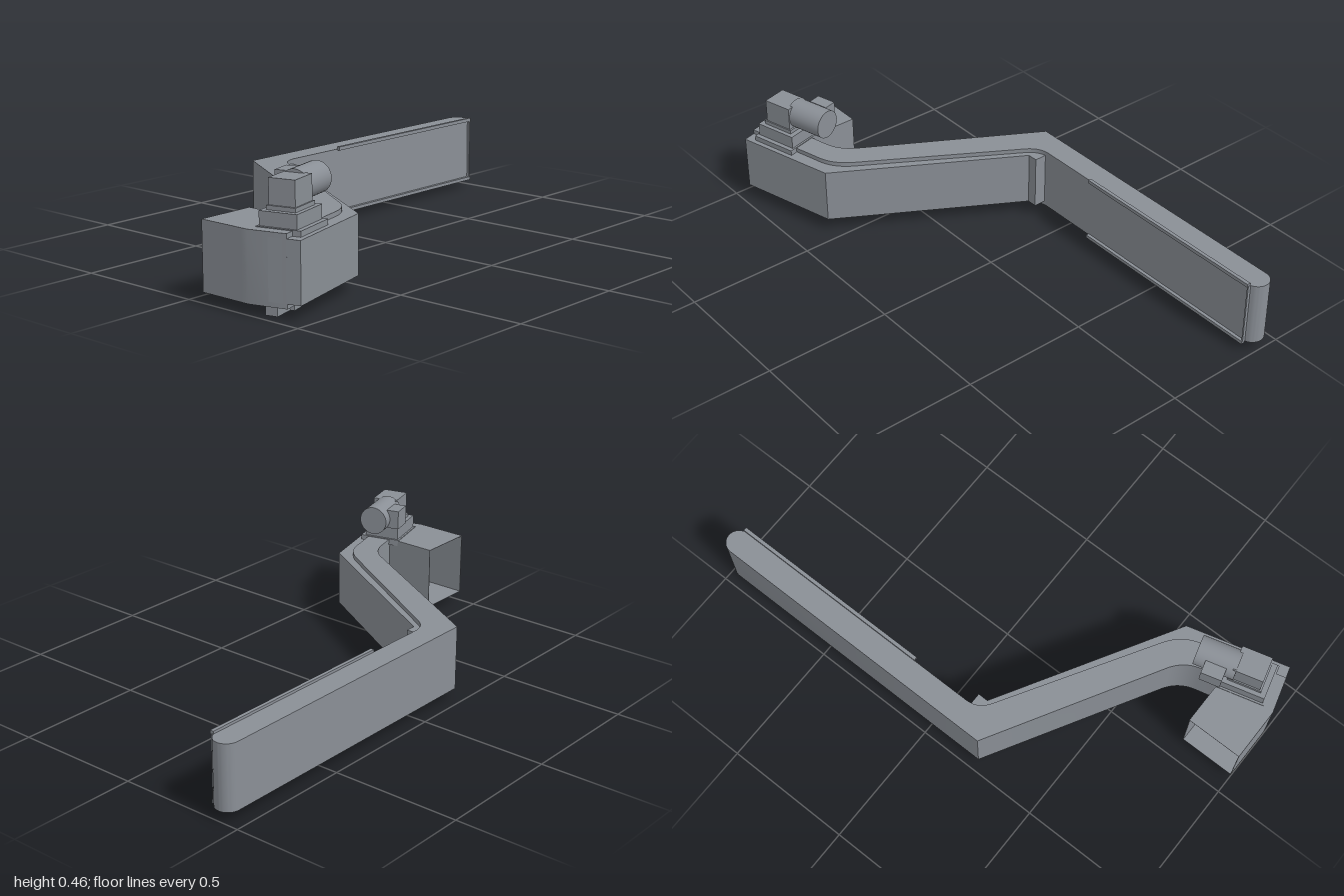
import * as THREE from 'three';
import { toCreasedNormals } from 'three/addons/utils/BufferGeometryUtils.js';

const material = new THREE.MeshStandardMaterial({ color: 0x8a8f96 });

function add(parent, name, geometry, x = 0, y = 0, z = 0) {
  const mesh = new THREE.Mesh(geometry, material);
  mesh.name = name;
  mesh.position.set(x, y, z);
  parent.add(mesh);
  return mesh;
}

// Box given by its centre in plan, its height range and its plan size
function block(parent, name, x, z, y0, y1, w, d) {
  return add(parent, name, new THREE.BoxGeometry(w, y1 - y0, d), x, (y0 + y1) / 2, z);
}

// Raises a plan outline (shape x = x, shape y = -z) between two heights
function slab(parent, name, shape, y0, y1) {
  const geometry = new THREE.ExtrudeGeometry(shape, { depth: y1 - y0, bevelEnabled: false, curveSegments: 12 });
  geometry.rotateX(-Math.PI / 2);
  return add(parent, name, toCreasedNormals(geometry, 0.5), 0, y0, 0);
}

export function createModel() {
  const model = new THREE.Group();
  model.name = 'bentArm';
  const low = 0.038, high = 0.287;

  // Bent arm with a rounded free end
  const arm = new THREE.Shape();
  arm.moveTo(-0.23, 0.465);
  arm.lineTo(-0.6, -0.18);
  arm.quadraticCurveTo(-0.635, -0.238, -0.7, -0.255);
  arm.lineTo(-0.78, -0.275);
  arm.lineTo(-0.78, -0.25);
  arm.lineTo(-1, -0.25);
  arm.lineTo(-1, -0.28);
  arm.lineTo(-0.9615, -0.418);
  arm.lineTo(-0.65, -0.335);
  arm.quadraticCurveTo(-0.57, -0.32, -0.525, -0.245);
  arm.lineTo(-0.185, 0.32);
  arm.quadraticCurveTo(-0.155, 0.37, -0.1, 0.37);
  arm.lineTo(0.952, 0.37);
  arm.absarc(0.952, 0.4175, 0.0475, -Math.PI / 2, Math.PI / 2, false);
  slab(model, 'arm', arm, low, high);

  // Slightly lower cover along the front of the bend
  const cover = new THREE.Shape([
    [-0.12, -0.40], [-0.12, -0.32], [-0.16, -0.32], [-0.555, 0.36],
    [-0.948, 0.466], [-0.98, 0.352], [-0.62, 0.27], [-0.22, -0.4],
  ].map(([x, z]) => new THREE.Vector2(x, -z)));
  slab(model, 'frontCover', cover, 0.055, 0.27);

  // Hollow socket with thin walls, open at the back
  const wall = 0.002;
  for (const x of [-1 + wall / 2, -0.78 - wall / 2]) {
    block(model, 'socketSide', x, 0.17, low, high, wall, 0.2);
  }
  block(model, 'socketTop', -0.89, 0.17, high - wall, high, 0.22, 0.2);
  block(model, 'socketBottom', -0.89, 0.17, low, low + wall, 0.22, 0.2);

  // Thin lips around the long section
  block(model, 'upperLip', 0.552, -0.364, 0.283, 0.297, 0.825, 0.014);
  block(model, 'lowerLip', 0.552, -0.364, 0.03, 0.043, 0.825, 0.014);
  block(model, 'endLip', 0.963, -0.367, low, high, 0.006, 0.012);

  // Turned fixture on top of the short section
  const fixture = new THREE.Group();
  fixture.name = 'fixture';
  fixture.position.set(-0.85, 0, 0.33);
  fixture.rotation.y = Math.PI / 12;
  model.add(fixture);
  block(fixture, 'basePlate', 0, 0.005, 0.265, 0.29, 0.185, 0.165);
  block(fixture, 'base', 0, 0, 0.28, 0.34, 0.17, 0.14);
  block(fixture, 'step', 0, 0, 0.34, 0.355, 0.13, 0.108);
  block(fixture, 'head', 0, 0, 0.355, 0.445, 0.115, 0.098);
  block(fixture, 'sideLug', 0.119, -0.077, 0.365, 0.44, 0.08, 0.05);
  const barrel = new THREE.CylinderGeometry(0.056, 0.056, 0.155, 32).rotateZ(Math.PI / 2);
  add(fixture, 'barrel', barrel, 0.122, 0.401, -0.01);

  // Small foot under the fixture
  block(fixture, 'footBar', 0, -0.016, 0, 0.045, 0.212, 0.045);
  block(fixture, 'footHub', 0, -0.016, 0, 0.045, 0.045, 0.075);

  return model;
}
